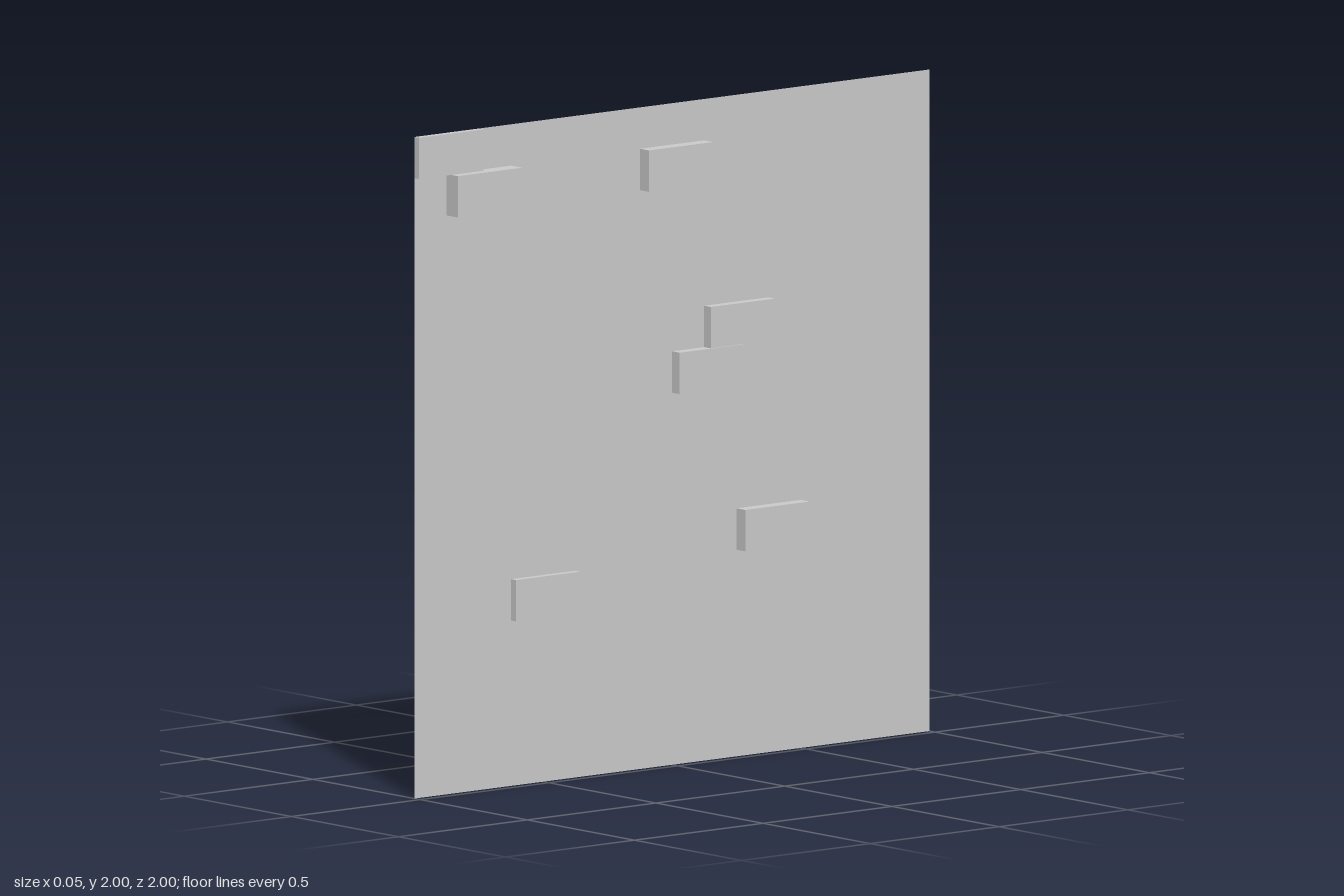
import * as THREE from 'three';

const CELL = 0.125, N = 16, BASE = -0.026;

// Raised bricks, two cells wide: lowest z, lowest y, depth above the sheet
const BRICKS = [
  { z: 0.75, y: 1.875, depth: 0.022 },
  { z: 0.625, y: 1.75, depth: 0.052 },
  { z: -0.125, y: 1.75, depth: 0.042 },
  { z: -0.375, y: 1.25, depth: 0.031 },
  { z: -0.25, y: 1.125, depth: 0.036 },
  { z: -0.5, y: 0.625, depth: 0.042 },
  { z: 0.375, y: 0.5, depth: 0.023 },
].map((b) => ({ ...b, col: Math.round((b.z + 1) / CELL), row: Math.round(b.y / CELL) }));

// Brick covering a grid cell, if any
const brickAt = (col, row) =>
  BRICKS.find((b) => b.row === row && (b.col === col || b.col + 1 === col));
const depthAt = (col, row) => brickAt(col, row)?.depth ?? 0;

// Adds the quad a-b-c-d, counter-clockwise from its front
function quad(out, a, b, c, d) {
  out.push(...a, ...b, ...c, ...a, ...c, ...d);
}

function makeMesh(name, positions, material) {
  const geometry = new THREE.BufferGeometry();
  geometry.setAttribute('position', new THREE.Float32BufferAttribute(positions, 3));
  geometry.computeVertexNormals();
  const mesh = new THREE.Mesh(geometry, material);
  mesh.name = name;
  return mesh;
}

// Face of one cell, looking towards +x
function addFace(out, col, row, depth) {
  const x = BASE + depth, y = row * CELL, z = col * CELL - 1;
  quad(out, [x, y, z + CELL], [x, y, z], [x, y + CELL, z], [x, y + CELL, z + CELL]);
}

// Wall on one side of a cell, from the neighbour's level up to its own
function addWall(out, col, row, depth, dc, dr) {
  const low = depthAt(col + dc, row + dr);
  if (low >= depth) return;
  const x0 = BASE + low, x1 = BASE + depth;
  const cy = (row + 0.5) * CELL, cz = (col + 0.5) * CELL - 1, h = CELL / 2;
  // edge midpoint, plus half an edge along the side
  const my = cy + dr * h, mz = cz + dc * h;
  const ey = dc * h, ez = -dr * h;
  quad(out,
    [x0, my - ey, mz - ez], [x1, my - ey, mz - ez],
    [x1, my + ey, mz + ez], [x0, my + ey, mz + ez]);
}

export function createModel() {
  const model = new THREE.Group();
  model.name = 'brickWallPanel';
  const material = new THREE.MeshStandardMaterial({
    color: 0xcccccc, side: THREE.DoubleSide, flatShading: true,
  });

  // Thin sheet, open behind each brick
  const sheet = [];
  for (let row = 0; row < N; row++)
    for (let col = 0; col < N; col++)
      if (!brickAt(col, row)) addFace(sheet, col, row, 0);
  model.add(makeMesh('wallSheet', sheet, material));

  // Hollow bricks standing out from the sheet
  BRICKS.forEach(({ col, row, depth }, i) => {
    const out = [];
    for (const c of [col, col + 1]) {
      addFace(out, c, row, depth);
      addWall(out, c, row, depth, 0, 1);
      addWall(out, c, row, depth, 0, -1);
    }
    addWall(out, col, row, depth, -1, 0);
    addWall(out, col + 1, row, depth, 1, 0);
    model.add(makeMesh(`raisedBrick${i + 1}`, out, material));
  });
  return model;
}
